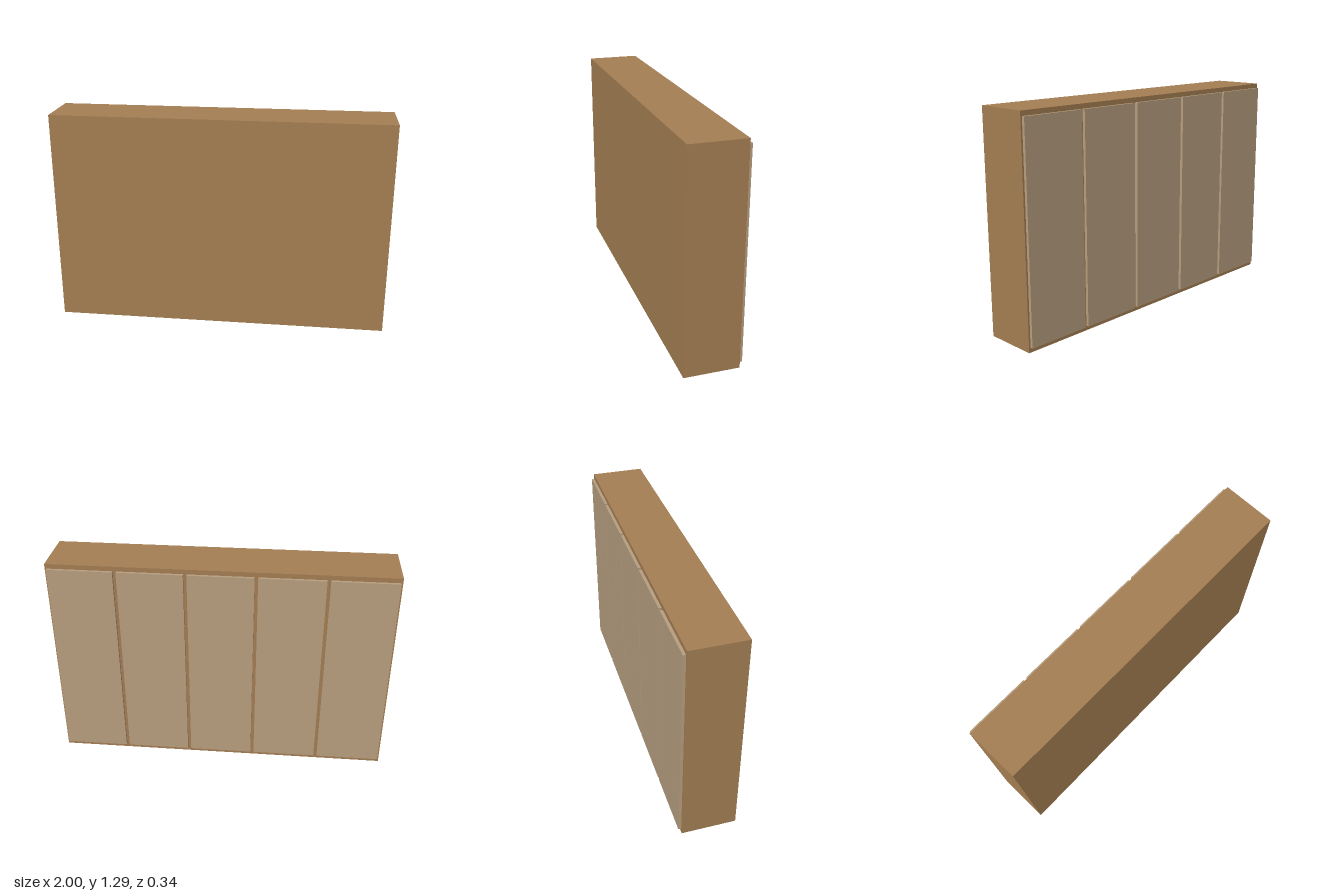
import * as THREE from 'three';

const WIDTH = 2, HEIGHT = 1.286, FRONT = 0.168, BACK = -0.151;
const DOORS = 5, PITCH = WIDTH / DOORS;

export function createModel() {
  const model = new THREE.Group();
  model.name = 'wardrobe';
  const wood = new THREE.MeshStandardMaterial({ color: 0xa57f53 });
  const paleWood = new THREE.MeshStandardMaterial({ color: 0xb89f80 });

  const addBox = (name, size, position, material) => {
    const mesh = new THREE.Mesh(new THREE.BoxGeometry(...size), material);
    mesh.name = name;
    mesh.position.set(...position);
    model.add(mesh);
  };

  // Cabinet body
  addBox('cabinetBody', [WIDTH, HEIGHT, FRONT - BACK], [0, HEIGHT / 2, (FRONT + BACK) / 2], wood);

  // Row of door panels on the rear face, with narrow gaps between them
  const doorHeight = 1.23, doorDepth = 0.017;
  for (let i = 0; i < DOORS; i++) {
    const x = (i - (DOORS - 1) / 2) * PITCH;
    addBox(`door${i + 1}`, [0.38, doorHeight, doorDepth], [x, HEIGHT / 2, BACK - doorDepth / 2], paleWood);
  }
  return model;
}
